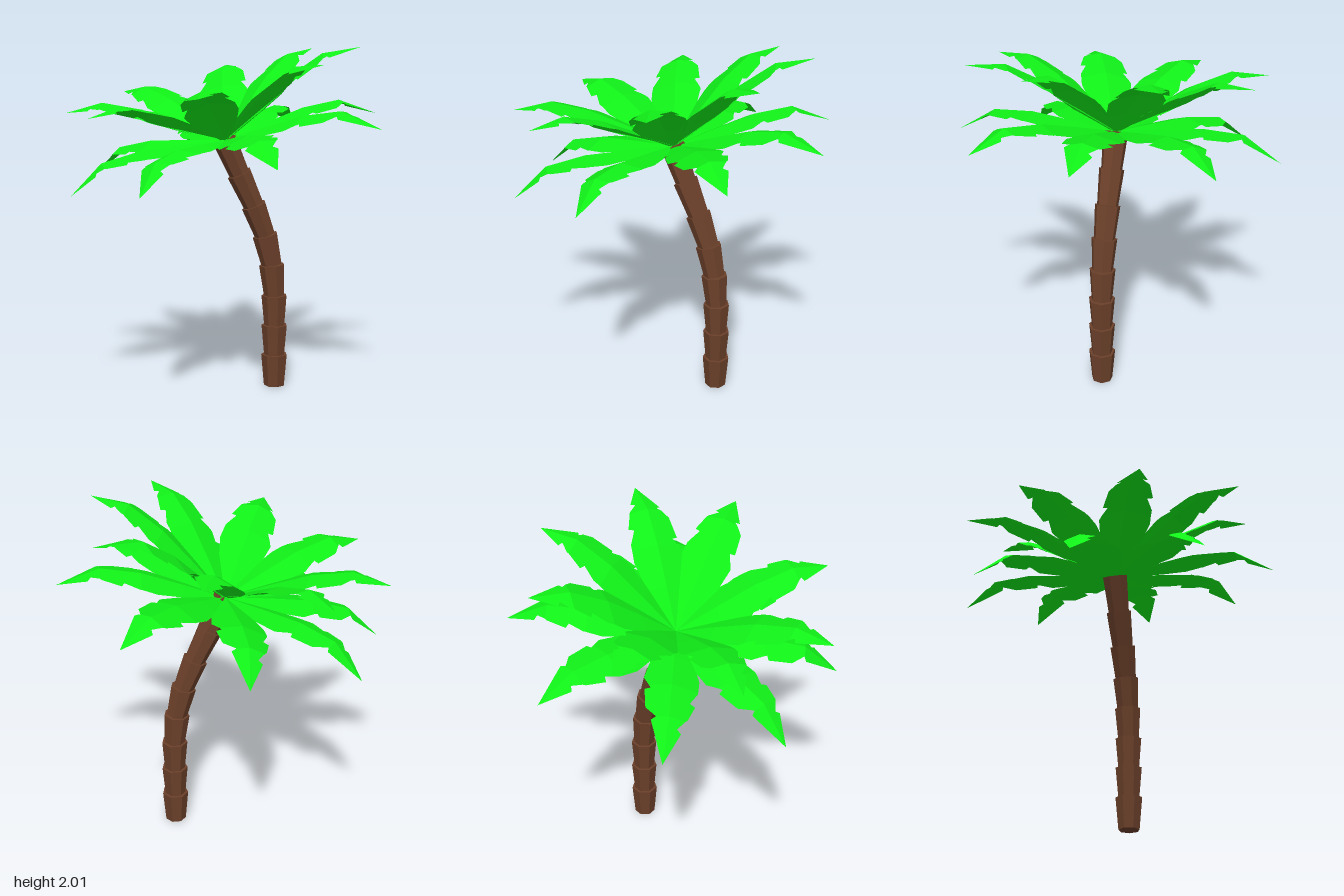
import * as THREE from 'three';

const leafMaterial = new THREE.MeshStandardMaterial({ color: 0x11f018, flatShading: true, side: THREE.DoubleSide });
const barkMaterial = new THREE.MeshStandardMaterial({ color: 0x6b402a, flatShading: true });

// Jagged outline of each leaf half: [distance along leaf 0..1, half width]
const leftEdge = [[0, 0.015], [0.15, 0.07], [0.28, 0.115], [0.43, 0.15], [0.54, 0.145], [0.63, 0.105], [0.645, 0.135], [0.76, 0.1], [0.82, 0.05], [0.835, 0.075], [1, 0]];
const rightEdge = [[0, 0.015], [0.15, 0.07], [0.28, 0.12], [0.46, 0.15], [0.55, 0.11], [0.56, 0.14], [0.7, 0.125], [0.77, 0.065], [0.785, 0.09], [1, 0]];

// Spine profiles [radius, height] of the two leaf rings
const lowerSpine = [[0, 0], [0.25, 0.035], [0.5, 0.065], [0.73, 0.055], [0.945, -0.083]];
const upperSpine = [[0, 0], [0.22, 0.145], [0.43, 0.275], [0.65, 0.365], [0.873, 0.352]];
const edgeDrop = 0.25;

function spineHeight(spine, r) {
  let i = 1;
  while (i < spine.length - 1 && r > spine[i][0]) i++;
  const [r0, h0] = spine[i - 1], [r1, h1] = spine[i];
  return h0 + (h1 - h0) * (r - r0) / (r1 - r0);
}

// Folded sheet along +x: each half is a strip from the raised spine to its jagged edge
function leafGeometry(spine) {
  const length = spine[spine.length - 1][0];
  const positions = [];
  for (const [edge, side] of [[leftEdge, -1], [rightEdge, 1]]) {
    // include the spine bends so that the leaf folds there
    const points = edge.map(([t, w]) => [t * length, w]);
    for (const [r] of spine.slice(1, -1)) {
      const k = points.findIndex((p) => p[0] > r);
      const [a, b] = [points[k - 1], points[k]];
      points.splice(k, 0, [r, a[1] + (b[1] - a[1]) * (r - a[0]) / (b[0] - a[0])]);
    }
    for (let i = 0; i < points.length - 1; i++) {
      const [[ra, wa], [rb, wb]] = [points[i], points[i + 1]];
      const ha = spineHeight(spine, ra), hb = spineHeight(spine, rb);
      const s0 = [ra, ha, 0], s1 = [rb, hb, 0];
      const e0 = [ra, ha - wa * edgeDrop, side * wa];
      const e1 = [rb, hb - wb * edgeDrop, side * wb];
      const triangles = side > 0 ? [s0, e0, s1, s1, e0, e1] : [s0, s1, e0, s1, e1, e0];
      positions.push(...triangles.flat());
    }
  }
  const geometry = new THREE.BufferGeometry();
  geometry.setAttribute('position', new THREE.Float32BufferAttribute(positions, 3));
  geometry.computeVertexNormals();
  return geometry;
}

function leafRing(name, spine, angles) {
  const ring = new THREE.Group();
  ring.name = name;
  const geometry = leafGeometry(spine);
  for (const angle of angles) {
    const leaf = new THREE.Mesh(geometry, leafMaterial);
    leaf.name = 'leaf';
    leaf.rotation.y = -THREE.MathUtils.degToRad(angle);
    ring.add(leaf);
  }
  return ring;
}

// Curved trunk of stacked flaring segments
function createTrunk() {
  const trunk = new THREE.Group();
  trunk.name = 'trunk';
  const joints = [[0.285, 0], [0.285, 0.19], [0.285, 0.37], [0.283, 0.55], [0.267, 0.735],
    [0.225, 0.915], [0.155, 1.095], [0.067, 1.285], [-0.02, 1.48]].map(([x, y]) => new THREE.Vector3(x, y, 0));
  for (let i = 0; i < joints.length - 1; i++) {
    const axis = joints[i + 1].clone().sub(joints[i]);
    const geometry = new THREE.CylinderGeometry(0.079 - i * 0.0008, 0.062, axis.length(), 7);
    const segment = new THREE.Mesh(geometry, barkMaterial);
    segment.name = 'trunkSegment';
    segment.position.copy(joints[i]).addScaledVector(axis, 0.5);
    segment.quaternion.setFromUnitVectors(new THREE.Vector3(0, 1, 0), axis.normalize());
    trunk.add(segment);
  }
  return trunk;
}

export function createModel() {
  const model = new THREE.Group();
  model.name = 'palmTree';
  model.add(createTrunk());

  // Crown leans with the end of the trunk
  const crown = new THREE.Group();
  crown.name = 'crown';
  crown.position.set(-0.02, 1.48, 0);
  crown.rotation.z = THREE.MathUtils.degToRad(13.5);
  crown.add(leafRing('lowerLeaves', lowerSpine, [-1, 40, 89.5, 135, 180, 223, 269, 312]));
  crown.add(leafRing('upperLeaves', upperSpine, [19.7, 60, 109, 155, 200.5, 244.5, 291, 331.6]));
  model.add(crown);
  return model;
}
